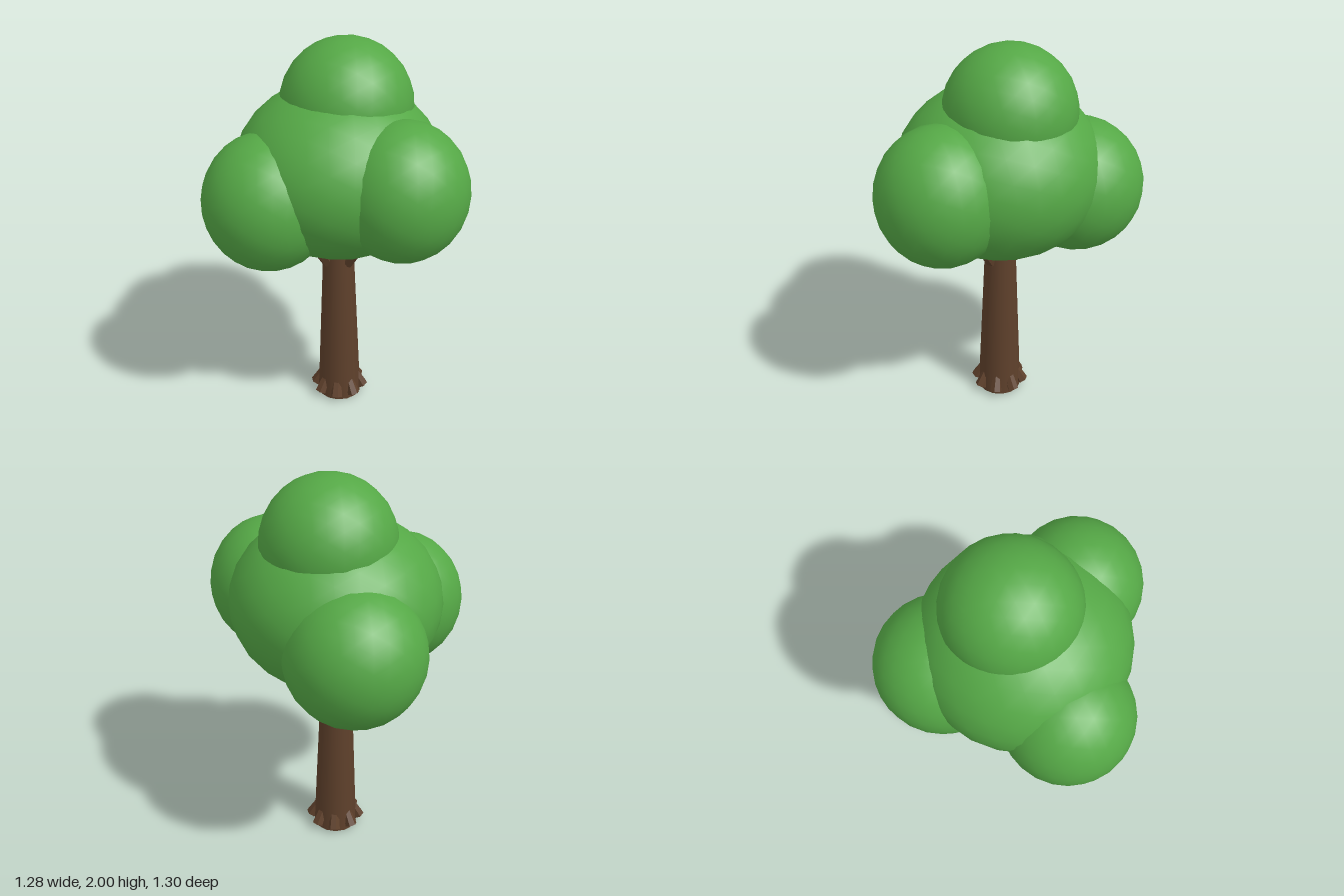
import * as THREE from 'three';

const leafGreen = new THREE.MeshStandardMaterial({ color: 0x55a846 });
leafGreen.name = 'leafGreen';
const barkBrown = new THREE.MeshStandardMaterial({ color: 0x5e402b });
barkBrown.name = 'barkBrown';

// Trunk axis position
const TX = -0.077, TZ = -0.01;

// Faceted limb running from point a to point b
function limb(name, a, b, ra, rb, sides) {
  const dir = new THREE.Vector3().subVectors(b, a);
  const geo = new THREE.CylinderGeometry(rb, ra, dir.length(), sides).toNonIndexed();
  geo.computeVertexNormals();
  const mesh = new THREE.Mesh(geo, barkBrown);
  mesh.name = name;
  mesh.position.copy(a).add(b).multiplyScalar(0.5);
  mesh.quaternion.setFromUnitVectors(new THREE.Vector3(0, 1, 0), dir.normalize());
  return mesh;
}

// Point at a distance from the trunk axis, in direction angle (0 = +x, 90 = +z)
function around(angle, dist, y) {
  return new THREE.Vector3(TX + Math.cos(angle) * dist, y, TZ + Math.sin(angle) * dist);
}

export function createModel() {
  const tree = new THREE.Group();
  tree.name = 'tree';

  // Tapered trunk
  const trunk = new THREE.Mesh(new THREE.CylinderGeometry(0.072, 0.118, 1.1, 14), barkBrown);
  trunk.name = 'trunk';
  trunk.position.set(TX, 0.55, TZ);
  tree.add(trunk);

  // Short root stubs flaring from the base
  const roots = new THREE.Group();
  roots.name = 'roots';
  for (let i = 0; i < 8; i++) {
    const a = (i + 0.5) * Math.PI / 4;
    roots.add(limb('root', around(a, 0.08, 0.125), around(a, 0.13, 0.03), 0.022, 0.032, 6));
  }
  tree.add(roots);

  // Leaf masses: name, centre, horizontal radius, vertical radius
  const masses = [
    ['mainCrown', [-0.07, 1.36, -0.01], 0.52, 0.44],
    ['topCrown', [-0.06, 1.67, -0.07], 0.328, 0.33],
    ['leftCrown', [0.318, 1.348, 0.07], 0.322, 0.345],
    ['frontCrown', [-0.265, 1.27, 0.33], 0.322, 0.342],
    ['backCrown', [-0.31, 1.257, -0.313], 0.337, 0.342],
  ];
  const crown = new THREE.Group();
  crown.name = 'crown';
  for (const [name, centre, r, h] of masses) {
    const mass = new THREE.Mesh(new THREE.IcosahedronGeometry(1, 4), leafGreen);
    mass.name = name;
    mass.position.set(...centre);
    mass.scale.set(r, h, r);
    crown.add(mass);
  }
  tree.add(crown);

  // Branches reaching from the trunk into the side masses
  const branches = new THREE.Group();
  branches.name = 'branches';
  for (const [, [x, , z]] of masses.slice(2)) {
    const a = Math.atan2(z - TZ, x - TX);
    branches.add(limb('branch', around(a, 0.06, 0.84), around(a, 0.23, 1.1), 0.036, 0.03, 6));
  }
  tree.add(branches);

  return tree;
}
